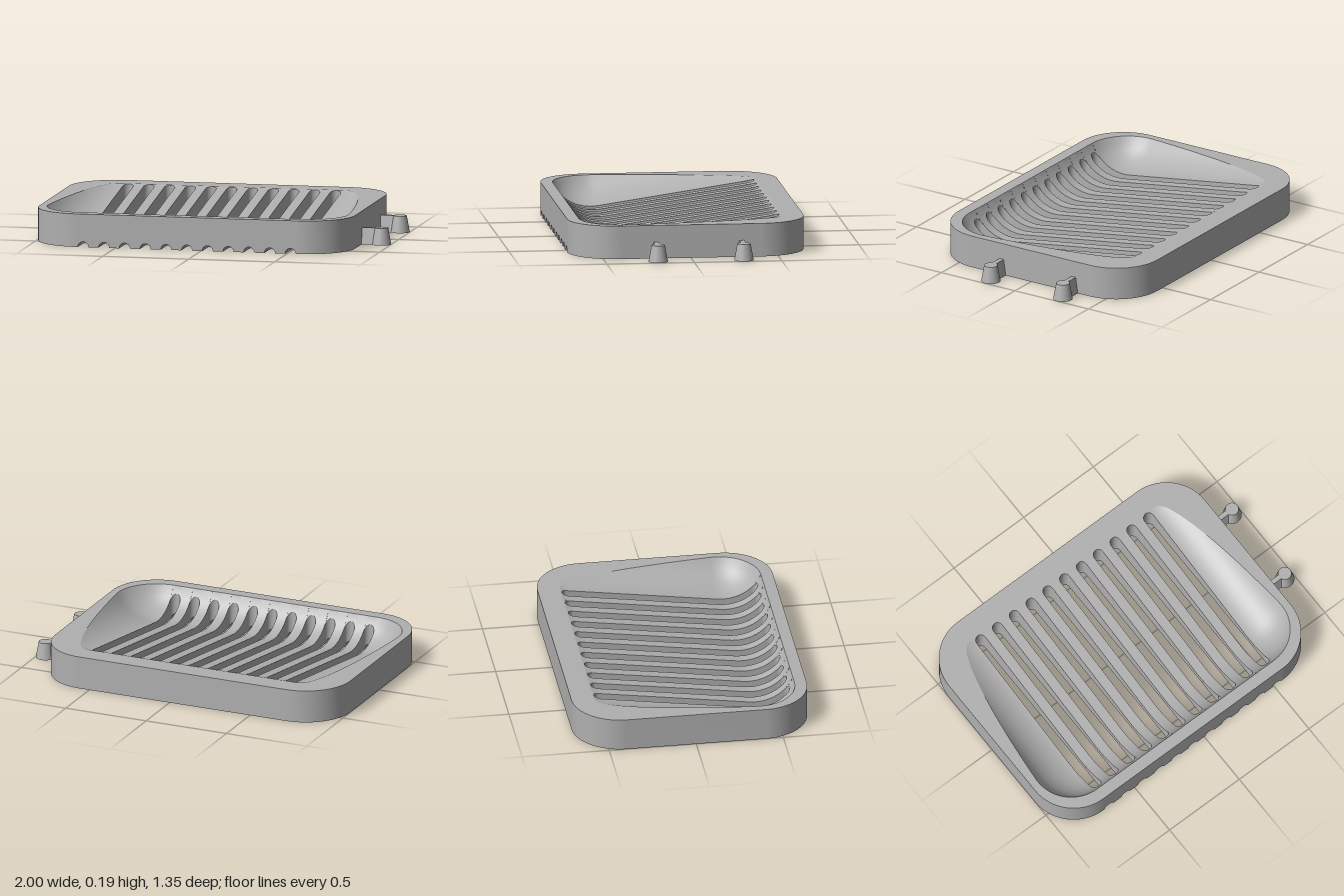
import * as THREE from 'three';

// Main sizes: tray centre and half sizes, rim height, corner radius
const CX = -0.0825, HX = 0.9175, HZ = 0.675, TOP = 0.19, CORNER = 0.275;
// Slots: radius, spacing, centres of the rounded ends
const R = 0.031, STEP = 0.1205, SLOT_FRONT = 0.554, SLOT_BACK = -0.509;
const slotXs = Array.from({ length: 11 }, (_, i) => CX + (i - 5) * STEP);
// Sloping floor, surrounded by a concave fillet
const FX = 5 * STEP + R, FRONT = 0.35, BACK = -0.49, FILLET = 0.275;

const plane = z => 0.05 + (0.36 - z) * 0.148;
const rise = d => FILLET - Math.sqrt(Math.max(0, FILLET * FILLET - d * d));
const floorY = z => plane(z) + rise(Math.max(0, z - FRONT, BACK - z));

// Distance from the flat floor, in direction dz, at which the fillet meets the rim
function reach(z, dz) {
  let a = 0, b = FILLET;
  for (let i = 0; i < 40; i++) {
    const m = (a + b) / 2;
    if (plane(z + dz * m) + rise(m) < TOP) a = m; else b = m;
  }
  return a;
}
const OPEN_FRONT = FRONT + reach(FRONT, 1), OPEN_BACK = BACK - reach(BACK, -1);
const mix = (a, b, t) => a + (b - a) * t;

// Smooth grid surface from a rule (u, v) -> [x, y, z]
function patch(nu, nv, rule) {
  const pos = [], index = [];
  for (let i = 0; i <= nu; i++) for (let j = 0; j <= nv; j++) pos.push(...rule(i / nu, j / nv, i));
  for (let i = 0; i < nu; i++) for (let j = 0; j < nv; j++) {
    const a = i * (nv + 1) + j, b = a + nv + 1;
    index.push(a, a + 1, b, b, a + 1, b + 1);
  }
  const g = new THREE.BufferGeometry();
  g.setAttribute('position', new THREE.Float32BufferAttribute(pos, 3));
  g.setIndex(index);
  g.computeVertexNormals();
  return g;
}

// Flat horizontal sheet from [x, z] outlines
function sheet(outline, hole, y, up) {
  const s = up ? -1 : 1;
  const pts = list => list.map(([x, z]) => new THREE.Vector2(x, s * z));
  const shape = new THREE.Shape(pts(outline));
  if (hole) shape.holes.push(new THREE.Path(pts(hole)));
  return new THREE.ShapeGeometry(shape).rotateX(s * Math.PI / 2).translate(0, y, 0);
}

// Outer outline from the right end of the front edge, round the back, to its left end
function outerPath() {
  const pts = [];
  [[1, 1], [1, -1], [-1, -1], [-1, 1]].forEach(([sx, sz], k) => {
    for (let i = 0; i <= 20; i++) {
      const a = Math.PI / 2 * (1 - k - i / 20);
      pts.push([CX + sx * (HX - CORNER) + CORNER * Math.cos(a), sz * (HZ - CORNER) + CORNER * Math.sin(a)]);
    }
  });
  return pts;
}

// Rays from the flat floor's edge over one side of the basin, front to back
function sideRays(side) {
  const rays = [], x = CX + side * FX;
  const add = (z, a) => rays.push({ x, z, dx: side * Math.sin(a), dz: Math.cos(a), d: reach(z, Math.cos(a)) });
  for (let i = 0; i <= 20; i++) add(FRONT, Math.PI / 2 * i / 20);
  for (let i = 1; i < 30; i++) add(mix(FRONT, BACK, i / 30), Math.PI / 2);
  for (let i = 0; i <= 20; i++) add(BACK, Math.PI / 2 * (1 + i / 20));
  return rays;
}

// Closed contour of a slot: [x, z, bottom y]; the front end opens into its drain arch
function slotLoop(c) {
  const pts = [];
  for (let i = 0; i <= 16; i++) {
    const a = Math.PI * i / 16;
    pts.push([c - R * Math.cos(a), SLOT_FRONT + R * Math.sin(a), R * Math.sin(a)]);
  }
  for (let i = 1; i < 40; i++) pts.push([c + R, mix(SLOT_FRONT, SLOT_BACK, i / 40), 0]);
  for (let i = 0; i <= 16; i++) {
    const a = Math.PI * i / 16;
    pts.push([c + R * Math.cos(a), SLOT_BACK - R * Math.sin(a), 0]);
  }
  for (let i = 1; i <= 40; i++) pts.push([c - R, mix(SLOT_BACK, SLOT_FRONT, i / 40), 0]);
  return pts;
}

export function createModel() {
  const grey = new THREE.MeshStandardMaterial({ color: 0xb0b0b0, side: THREE.DoubleSide });
  grey.name = 'grey';
  const model = new THREE.Group();
  model.name = 'drainingTray';
  const add = (name, geometry, parent = model) => {
    const mesh = new THREE.Mesh(geometry, grey);
    mesh.name = name;
    parent.add(mesh);
    return mesh;
  };

  const outer = outerPath();
  const rays = { left: sideRays(1), right: sideRays(-1) };
  const edge = r => [r.x + r.dx * r.d, r.z + r.dz * r.d];

  // Rim and outer wall
  add('rim', sheet(outer, [...rays.left.map(edge), ...rays.right.map(edge).reverse()], TOP, true));
  add('outerWall', patch(outer.length - 1, 1, (u, v, i) => [outer[i][0], v * TOP, outer[i][1]]));

  // Front wall with drain arches
  const half = HX - CORNER;
  const front = [new THREE.Vector2(CX - half, 0)];
  const under = [];
  for (const c of slotXs) {
    under.push([c - R, HZ]);
    for (let i = 0; i <= 16; i++) {
      const a = Math.PI * i / 16;
      front.push(new THREE.Vector2(c - R * Math.cos(a), R * Math.sin(a)));
      under.push([c - R * Math.cos(a), SLOT_BACK - R * Math.sin(a)]);
    }
    under.push([c + R, HZ]);
  }
  front.push(new THREE.Vector2(CX + half, 0), new THREE.Vector2(CX + half, TOP), new THREE.Vector2(CX - half, TOP));
  add('frontWall', new THREE.ShapeGeometry(new THREE.Shape(front)).translate(0, 0, HZ));

  // Underside, cut by the slots as far as the front edge
  add('underside', sheet([...under, ...outer], null, 0, false));

  // Curved sides of the basin
  for (const [name, list] of Object.entries(rays)) {
    add(name + 'BasinSide', patch(list.length - 1, 14, (u, v, i) => {
      const r = list[i], d = v * r.d, z = r.z + r.dz * d;
      return [r.x + r.dx * d, plane(z) + rise(d), z];
    }));
  }

  // Floor bars between the slots
  for (let i = 0; i < 10; i++) {
    add('floorBar', patch(1, 60, (u, v) => {
      const z = mix(OPEN_BACK, OPEN_FRONT, v);
      return [mix(slotXs[i] + R, slotXs[i + 1] - R, u), floorY(z), z];
    }));
  }

  // Slots: floor beyond each end, inner walls and drain arch
  for (const c of slotXs) {
    const slot = new THREE.Group();
    slot.name = 'drainSlot';
    model.add(slot);
    const across = u => [c - R * Math.cos(Math.PI * u), R * Math.sin(Math.PI * u)];
    add('slotFrontFloor', patch(16, 6, (u, v) => {
      const [x, s] = across(u), z = mix(SLOT_FRONT + s, OPEN_FRONT, v);
      return [x, floorY(z), z];
    }), slot);
    add('slotBackFloor', patch(16, 4, (u, v) => {
      const [x, s] = across(u), z = mix(OPEN_BACK, SLOT_BACK - s, v);
      return [x, floorY(z), z];
    }), slot);
    const loop = slotLoop(c);
    add('slotWall', patch(loop.length - 1, 1, (u, v, i) => {
      const [x, z, y] = loop[i];
      return [x, mix(y, floorY(z), v), z];
    }), slot);
    add('drainArch', patch(16, 1, (u, v) => {
      const [x, s] = across(u);
      return [x, s, mix(HZ, SLOT_FRONT + s, v)];
    }), slot);
  }

  // Tapered pegs on short necks at the left side
  const neckShape = new THREE.Shape([[-0.029, 0], [0.029, 0], [0.014, 0.095], [-0.014, 0.095]]
    .map(([x, y]) => new THREE.Vector2(x, y)));
  for (const z of [-0.29, 0.2]) {
    const peg = new THREE.Group();
    peg.name = 'mountingPeg';
    peg.position.z = z;
    model.add(peg);
    add('pegCone', new THREE.CylinderGeometry(0.038, 0.055, 0.095, 40).translate(0.945, 0.0475, 0), peg);
    add('pegNeck', new THREE.ExtrudeGeometry(neckShape, { depth: 0.1, bevelEnabled: false })
      .rotateY(Math.PI / 2).translate(0.83, 0, 0), peg);
  }
  return model;
}
